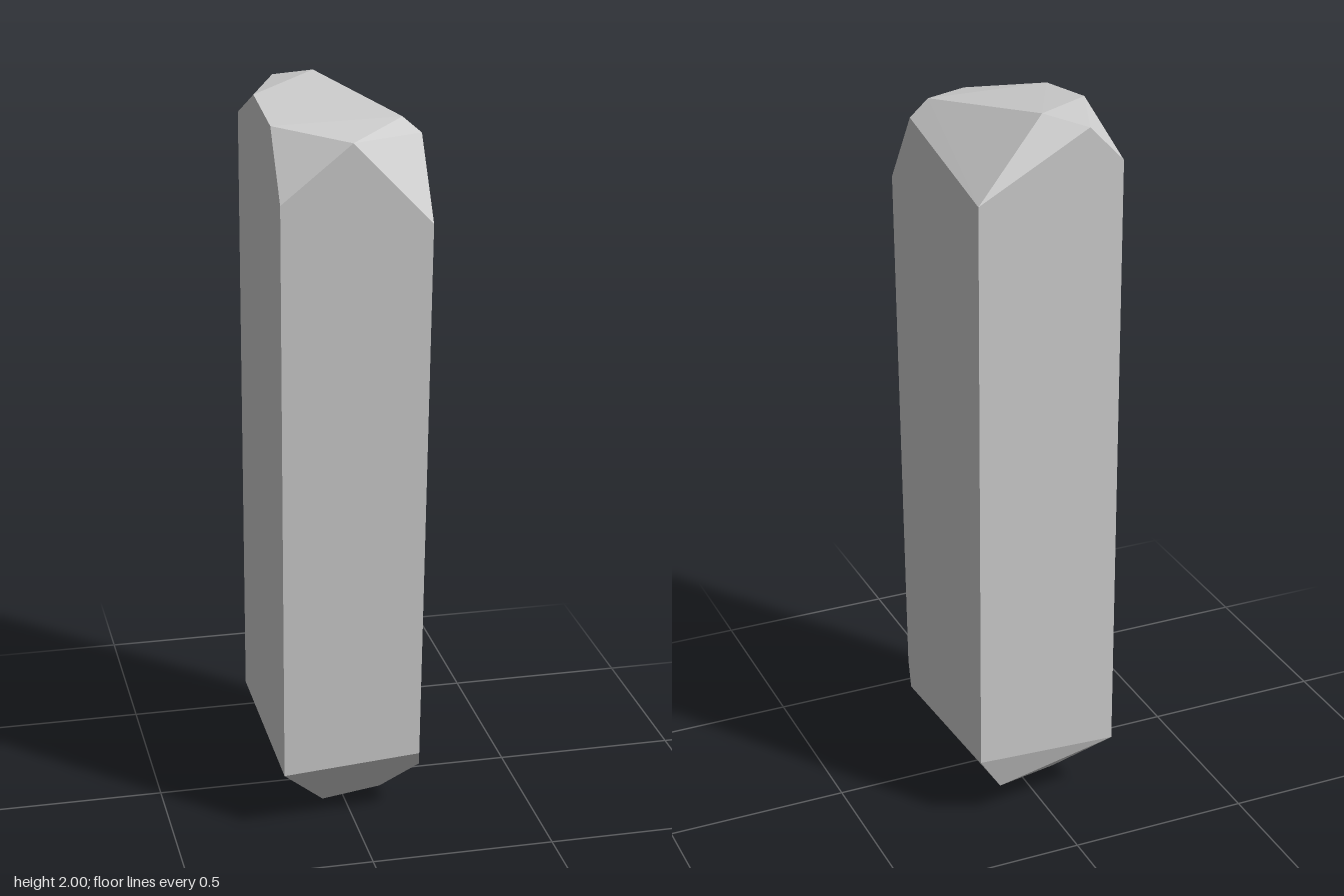
import * as THREE from 'three';
import { ConvexGeometry } from 'three/addons/geometries/ConvexGeometry.js';

export function createModel() {
  const group = new THREE.Group();
  group.name = 'crystal';

  // Facet corners of the pointed top
  const crown = [
    [-0.01, 2, -0.215], [0.145, 1.95, 0.157], [0.197, 1.905, 0.155], [-0.013, 1.92, 0.292],
    [-0.2, 1.945, 0.17], [-0.2, 1.975, -0.06], [-0.105, 1.975, -0.294],
  ];
  // Ends of the four long edges: upper, then lower
  const shaft = [
    [-0.2, 1.77, 0.292], [0.197, 1.7, 0.292], [0.197, 1.81, -0.294], [-0.2, 1.877, -0.294],
    [-0.2, 0.172, 0.292], [0.177, 0.2, 0.292], [0.197, 0.195, -0.294], [-0.2, 0.177, -0.294],
  ];
  // Facet corners of the tapered foot
  const foot = [
    [0.19, 0.14, 0.24], [0.1, 0.033, 0.148], [-0.06, 0, 0.13],
    [-0.085, 0.035, -0.16], [0.127, 0.085, -0.265],
  ];

  // One convex solid with flat facets
  const points = [...crown, ...shaft, ...foot].map((p) => new THREE.Vector3(...p));
  const crystal = new THREE.Mesh(
    new ConvexGeometry(points),
    new THREE.MeshStandardMaterial({ color: 0xcccccc, flatShading: true }),
  );
  crystal.name = 'crystalShard';
  group.add(crystal);
  return group;
}
